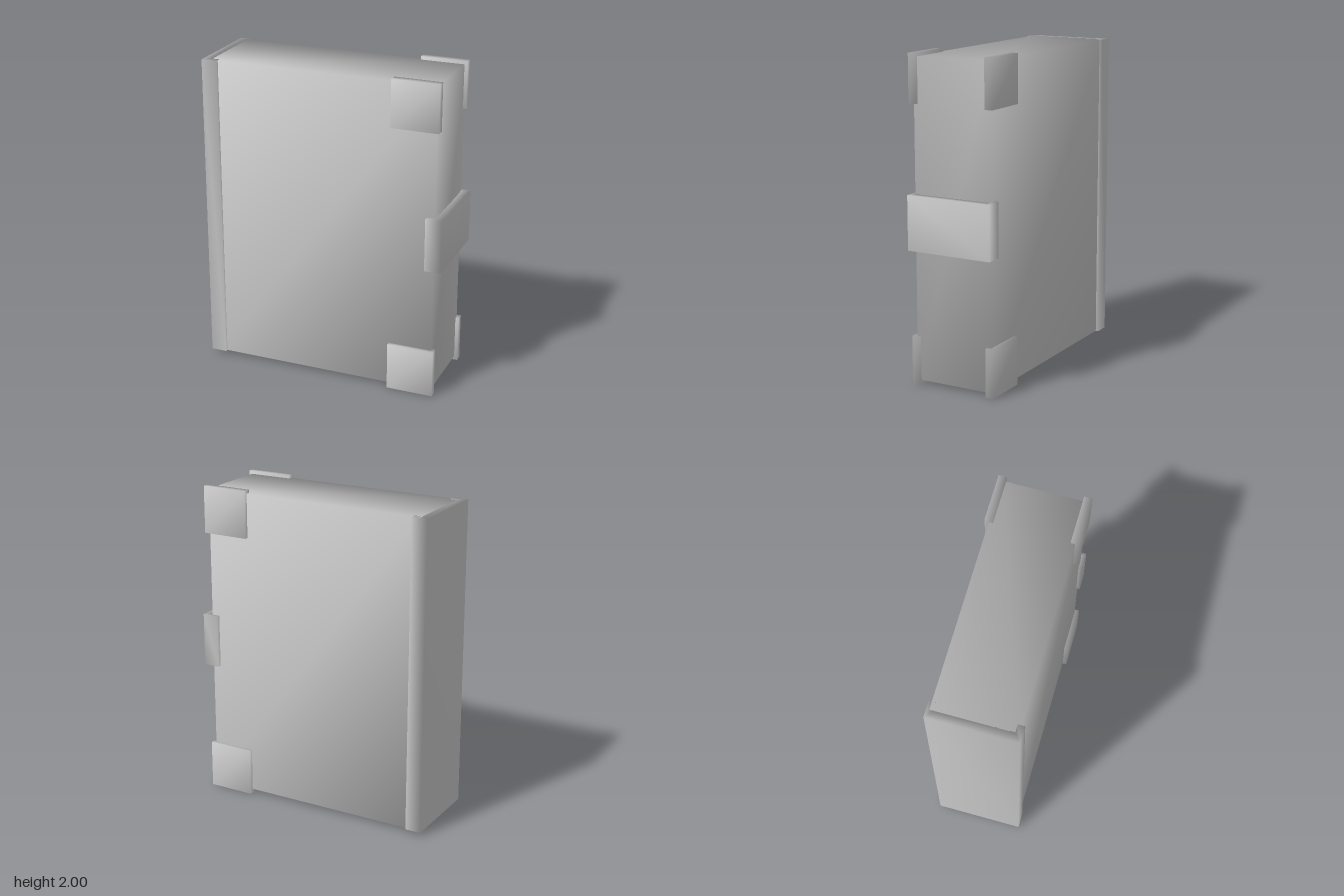
import * as THREE from 'three';
import { mergeVertices } from 'three/addons/utils/BufferGeometryUtils.js';

// Share corner vertices so shading flows smoothly round the edges
function soften(geometry) {
  geometry.deleteAttribute('normal');
  geometry.deleteAttribute('uv');
  const merged = mergeVertices(geometry, 1e-4);
  merged.clearGroups();
  merged.computeVertexNormals();
  return merged;
}

// Box given by its minimum and maximum corners
function boxBetween([x0, y0, z0], [x1, y1, z1]) {
  const g = new THREE.BoxGeometry(x1 - x0, y1 - y0, z1 - z0);
  g.translate((x0 + x1) / 2, (y0 + y1) / 2, (z0 + z1) / 2);
  return soften(g);
}

// Upright U channel: web from outerX to innerX, flanges reaching lipX
function channel(outerX, innerX, lipX, outerZ, innerZ, y0, y1) {
  const shape = new THREE.Shape([
    [outerX, -outerZ], [lipX, -outerZ], [lipX, -innerZ], [innerX, -innerZ],
    [innerX, innerZ], [lipX, innerZ], [lipX, outerZ], [outerX, outerZ],
  ].map(([x, z]) => new THREE.Vector2(x, z)));
  const g = new THREE.ExtrudeGeometry(shape, { depth: y1 - y0, bevelEnabled: false });
  g.rotateX(-Math.PI / 2);
  g.translate(0, y0, 0);
  return soften(g);
}

export function createModel() {
  const model = new THREE.Group();
  model.name = 'book';
  const grey = new THREE.MeshStandardMaterial({ color: 0xcccccc });
  grey.name = 'light grey';

  const add = (name, geometry) => {
    const mesh = new THREE.Mesh(geometry, grey);
    mesh.name = name;
    model.add(mesh);
  };

  // Closed book body
  add('bookBlock', boxBetween([-0.725, 0.025, -0.255], [0.72, 1.98, 0.255]));

  // Spine wrapping the left edge
  add('spine', channel(-0.775, -0.722, -0.675, 0.273, 0.23, 0.025, 1.98));

  // Clasp wrapping the opening edge
  add('clasp', channel(0.773, 0.725, 0.67, 0.278, 0.23, 0.835, 1.17));

  // Corner guards on both covers
  for (const [side, z0, z1] of [['front', 0.23, 0.28], ['back', -0.28, -0.23]]) {
    for (const [level, y0, y1] of [['Lower', 0, 0.3], ['Upper', 1.705, 2]]) {
      add(`${side}${level}CornerGuard`, boxBetween([0.445, y0, z0], [0.74, y1, z1]));
    }
  }

  return model;
}
